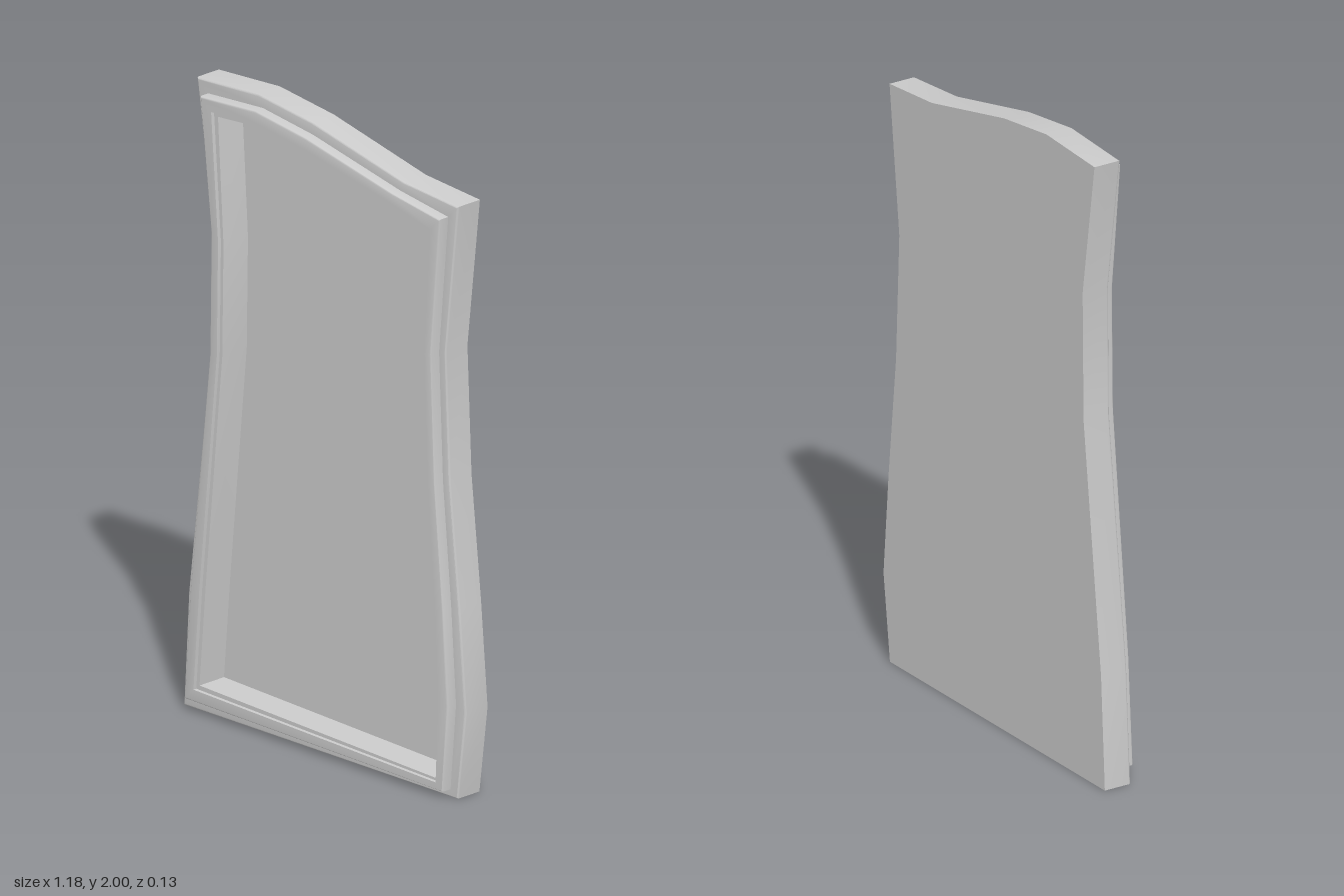
import * as THREE from 'three';
import { toCreasedNormals } from 'three/addons/utils/BufferGeometryUtils.js';

// Outer edge of the frame and inner edge of the opening, point for point, clockwise from top left
const OUTER = [
  [-0.535, 1.987], [-0.28, 2], [-0.055, 1.97], [0.33, 1.88], [0.555, 1.86], [0.503, 1.39], [0.52, 0.99],
  [0.56, 0.6], [0.587, 0.275], [0.553, 0], [-0.59, 0], [-0.57, 0.36], [-0.477, 1.15], [-0.472, 1.56],
];
const INNER = [
  [-0.423, 1.897], [-0.23, 1.91], [-0.04, 1.88], [0.3, 1.81], [0.462, 1.765], [0.442, 1.38], [0.457, 0.98],
  [0.485, 0.58], [0.495, 0.32], [0.487, 0.055], [-0.5, 0.09], [-0.475, 0.4], [-0.405, 1.15], [-0.4, 1.5],
];
const BACK = -0.065, FLOOR = -0.052;

// Rounded edge of the moulding: from the wall at t up onto the face at z
function roundEdge(t, z, r) {
  return [0, 1, 2, 3, 4].map((i) => {
    const a = (i / 4) * Math.PI / 2;
    return [t + r * 10 * (1 - Math.cos(a)), z - r + r * Math.sin(a)];
  });
}

// Sweep a profile of [t, z] around the outline, t = 0 at the outer edge and 1 at the opening
function moulding(profile) {
  const n = OUTER.length, pos = [], index = [];
  for (const [t, z] of profile) {
    OUTER.forEach(([x, y], i) => pos.push(
      THREE.MathUtils.lerp(x, INNER[i][0], t), THREE.MathUtils.lerp(y, INNER[i][1], t), z));
  }
  for (let k = 0; k < profile.length - 1; k++) {
    for (let i = 0; i < n; i++) {
      const j = (i + 1) % n;
      const a = k * n + i, b = k * n + j, c = b + n, d = a + n;
      index.push(a, c, b, a, d, c);
    }
  }
  const geo = new THREE.BufferGeometry();
  geo.setAttribute('position', new THREE.Float32BufferAttribute(pos, 3));
  geo.setIndex(index);
  return toCreasedNormals(geo, Math.PI / 6);
}

function flatPanel(points, flip = 1) {
  return new THREE.ShapeGeometry(new THREE.Shape(points.map(([x, y]) => new THREE.Vector2(x * flip, y))));
}

export function createModel() {
  const group = new THREE.Group();
  group.name = 'wavyFrame';
  const material = new THREE.MeshStandardMaterial({ color: 0xcccccc });
  const add = (name, geo) => {
    const mesh = new THREE.Mesh(geo, material);
    mesh.name = name;
    group.add(mesh);
    return mesh;
  };

  // Broad outer step
  add('outerFrame', moulding([[0, BACK], ...roundEdge(0, 0.027, 0.007), [0.43, 0.027]]));

  // Raised inner rim with a small lip, then the wall of the recess
  add('innerRim', moulding([
    [0.43, 0.027], ...roundEdge(0.43, 0.062, 0.007), [0.85, 0.062],
    [0.85, 0.05], [1, 0.05], [1, FLOOR],
  ]));

  // Recessed panel and closed back
  add('recessedPanel', flatPanel(INNER)).position.z = FLOOR;
  add('backPanel', flatPanel(OUTER, -1).rotateY(Math.PI)).position.z = BACK;

  return group;
}
